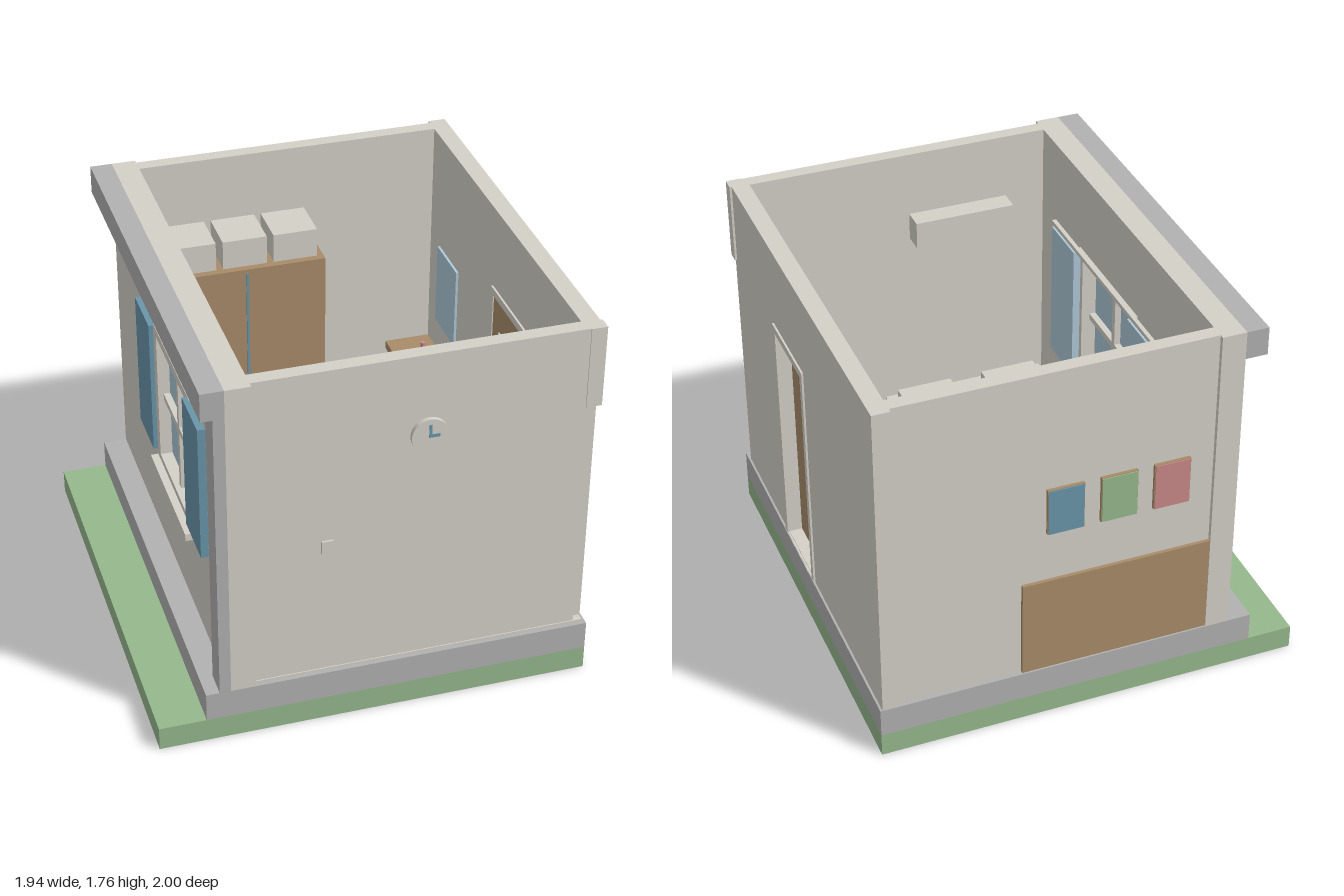
import * as THREE from 'three';

const mat = (name, color) => {
  const m = new THREE.MeshStandardMaterial({ color });
  m.name = name;
  return m;
};

export function createModel() {
  const wall = mat('warm white', 0xd4d0c8), grey = mat('stone grey', 0xb2b1b2);
  const green = mat('grass green', 0x95b88d), wood = mat('wood brown', 0xa98c6a);
  const pink = mat('rug pink', 0xca8988), mauve = mat('blanket mauve', 0xb68a90);
  const teal = mat('shutter teal', 0x6a96aa), glass = mat('pale blue', 0xaec9d7);

  const root = new THREE.Group();
  root.name = 'bedroom';
  const add = (geo, name, m, x = 0, y = 0, z = 0) => {
    const mesh = new THREE.Mesh(geo, m);
    mesh.name = name;
    mesh.position.set(x, y, z);
    root.add(mesh);
    return mesh;
  };
  // box given by its lower and upper limits on each axis
  const box = (name, m, x0, x1, y0, y1, z0, z1) =>
    add(new THREE.BoxGeometry(x1 - x0, y1 - y0, z1 - z0), name, m, (x0 + x1) / 2, (y0 + y1) / 2, (z0 + z1) / 2);
  const rect = (P, a0, a1, b0, b1) => {
    const p = new P();
    p.moveTo(a0, b0); p.lineTo(a1, b0); p.lineTo(a1, b1); p.lineTo(a0, b1); p.closePath();
    return p;
  };
  // wall or frame facing x, with a rectangular opening; limits run along z and y
  const holed = (name, m, x0, x1, [z0, z1, y0, y1], [h0, h1, k0, k1]) => {
    const s = rect(THREE.Shape, -z1, -z0, y0, y1);
    s.holes.push(rect(THREE.Path, -h1, -h0, k0, k1));
    const g = new THREE.ExtrudeGeometry(s, { depth: x1 - x0, bevelEnabled: false });
    g.rotateY(Math.PI / 2);
    return add(g, name, m, x0);
  };

  // ground, plinth and floor
  box('lawn', green, -0.97, 0.97, 0, 0.11, -1, 1);
  box('plinth', grey, -0.76, 0.97, 0.11, 0.245, -1, 1);
  box('floor', wall, -0.65, 0.955, 0.245, 0.255, -0.98, 0.98);

  // walls
  box('frontWall', wall, -0.54, 0.915, 0.255, 1.76, 0.91, 0.975);
  box('backWall', wall, -0.54, 0.88, 0.255, 1.76, -0.98, -0.915);
  holed('windowWall', wall, -0.65, -0.54, [-1, 1, 0.245, 1.76], [-0.16, 0.42, 0.7, 1.35]);
  holed('doorWall', wall, 0.88, 0.96, [-1, 0.945, 0.245, 1.76], [-0.045, 0.315, 0.256, 1.345]);
  box('cornerBlock', wall, 0.9, 0.97, 1.38, 1.76, 0.92, 0.98);
  box('cornice', grey, -0.75, -0.65, 1.63, 1.76, -1, 1);
  box('cornerPost', grey, -0.7, -0.65, 0.245, 1.63, 0.88, 1);

  // door
  for (const x of [0.87, 0.958])
    holed('doorCasing', wall, x, x + 0.011, [-0.075, 0.35, 0.25, 1.38], [-0.045, 0.315, 0.252, 1.345]);
  box('door', wood, 0.875, 0.9, 0.255, 1.345, -0.045, 0.315);
  box('doorPanel', wall, 0.869, 0.875, 0.8, 1.2, 0.04, 0.23);
  add(new THREE.SphereGeometry(0.018, 16, 12), 'doorKnob', wall, 0.855, 0.75, 0.265);

  // window with shutters outside and curtains inside
  box('windowPane', glass, -0.61, -0.6, 0.7, 1.35, -0.16, 0.42);
  holed('windowFrame', wall, -0.665, -0.53, [-0.19, 0.45, 0.68, 1.38], [-0.14, 0.4, 0.72, 1.34]);
  box('mullion', wall, -0.64, -0.57, 0.7, 1.35, 0.115, 0.145);
  box('transom', wall, -0.64, -0.57, 1.01, 1.04, -0.15, 0.41);
  box('windowSill', wall, -0.7, -0.64, 0.655, 0.69, -0.19, 0.45);
  box('curtainRail', wall, -0.525, -0.505, 1.37, 1.39, -0.44, 0.71);
  for (const z of [-0.45, 0.41]) {
    box('shutter', teal, -0.685, -0.65, 0.72, 1.37, z, z + 0.26);
    box('curtain', glass, -0.53, -0.495, 0.7, 1.37, z + 0.015, z + 0.275);
  }

  // clock and switch on the front wall
  const disc = (r, d) => new THREE.CylinderGeometry(r, r, d, 40).rotateX(Math.PI / 2);
  add(disc(0.08, 0.02), 'clockFace', wall, 0.213, 1.38, 0.985);
  box('minuteHand', teal, 0.207, 0.219, 1.38, 1.435, 0.994, 0.999);
  box('hourHand', teal, 0.207, 0.255, 1.374, 1.388, 0.994, 0.999);
  box('lightSwitch', wall, -0.245, -0.195, 0.87, 0.93, 0.97, 0.985);

  // headboard and pictures on the back wall
  box('headboard', wood, -0.54, 0.325, 0.25, 0.72, -0.997, -0.975);
  [pink, green, teal].forEach((m, i) => {
    const x = -0.43 + i * 0.24;
    box('pictureFrame', wood, x, x + 0.165, 0.965, 1.19, -0.995, -0.975);
    box('picture', m, x + 0.003, x + 0.162, 0.968, 1.187, -1, -0.994);
  });

  // rug and bed
  box('rug', pink, -0.535, 0.455, 0.255, 0.265, -0.9, -0.14);
  box('bedFrame', wood, -0.54, 0.325, 0.255, 0.42, -0.19, 0.905);
  box('mattress', wall, -0.505, 0.29, 0.4, 0.49, -0.16, 0.865);
  box('blanket', mauve, -0.51, 0.295, 0.41, 0.5, -0.165, 0.485);
  for (const x of [-0.46, -0.03]) box('pillow', wall, x, x + 0.27, 0.48, 0.54, 0.65, 0.83);
  box('wallShelf', wall, -0.35, 0.13, 1.32, 1.45, 0.81, 0.912);

  // wardrobe with storage boxes on top
  box('wardrobe', wood, -0.49, 0.265, 0.255, 1.31, -0.912, -0.645);
  box('doorGap', teal, -0.118, -0.106, 0.3, 1.29, -0.645, -0.638);
  for (const x of [-0.46, -0.217, 0.025]) box('storageBox', wall, x, x + 0.21, 1.31, 1.45, -0.9, -0.68);

  // desk with a screen, and a stool
  box('deskTop', wood, 0.655, 0.875, 0.6, 0.64, -0.9, -0.41);
  for (const z of [-0.9, -0.45]) box('deskSide', wood, 0.665, 0.87, 0.255, 0.6, z, z + 0.04);
  box('mirror', glass, 0.868, 0.88, 0.8, 1.2, -0.785, -0.52);
  for (const z of [-0.76, -0.545]) add(new THREE.CylinderGeometry(0.012, 0.012, 0.05, 16), 'jar', pink, 0.8, 0.665, z);
  add(new THREE.CylinderGeometry(0.09, 0.09, 0.05, 32), 'stoolSeat', teal, 0.565, 0.46, -0.655);
  add(new THREE.CylinderGeometry(0.025, 0.025, 0.19, 16), 'stoolLeg', wood, 0.565, 0.345, -0.655);

  // nightstand, lamp and small cushion
  box('nightstand', wood, 0.595, 0.805, 0.255, 0.52, 0.645, 0.865);
  add(new THREE.CylinderGeometry(0.012, 0.02, 0.08, 16), 'lampStem', wall, 0.7, 0.56, 0.755);
  add(new THREE.SphereGeometry(0.052, 24, 16), 'lampShade', wall, 0.7, 0.63, 0.755);
  box('cushion', pink, 0.645, 0.75, 0.255, 0.32, 0.55, 0.63);
  box('cushionStrap', teal, 0.696, 0.701, 0.27, 0.29, 0.515, 0.645);

  return root;
}
